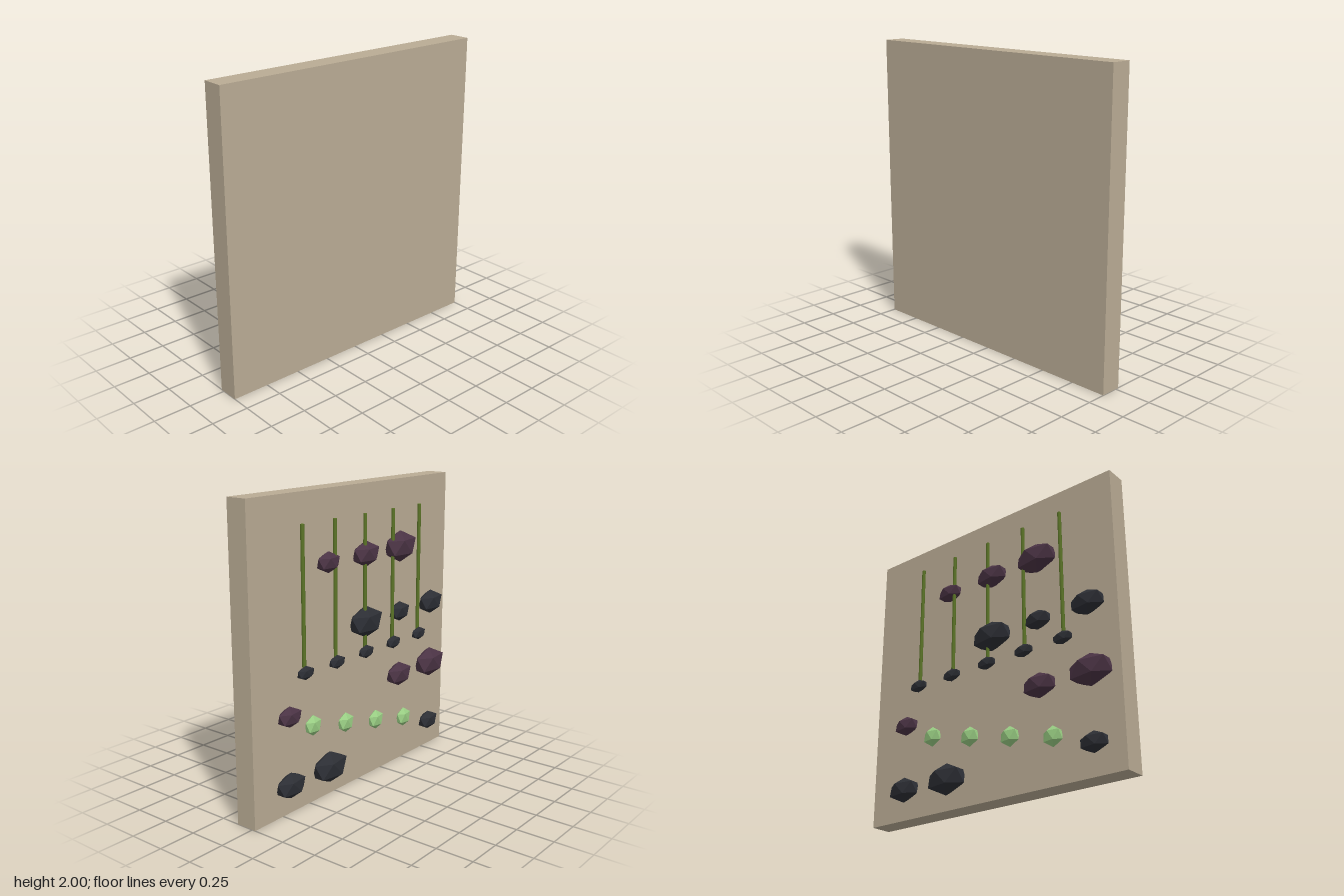
import * as THREE from 'three';

const mat = (name, color) => {
  const m = new THREE.MeshStandardMaterial({ color });
  m.name = name;
  return m;
};

// Twenty-sided faceted stone with its poles on the y axis
function stoneGeometry(rx, ry, rz) {
  const g = new THREE.IcosahedronGeometry(1, 0);
  g.rotateX(-Math.atan((1 + Math.sqrt(5)) / 2));
  g.rotateY(Math.PI / 2);
  g.scale(rx, ry, rz);
  g.computeVertexNormals();
  return g;
}

export function createModel() {
  const group = new THREE.Group();
  const sand = mat('sandBoard', 0xb9ab94);
  const plum = mat('plumStone', 0x4a3344);
  const charcoal = mat('charcoalStone', 0x2c2e34);
  const leaf = mat('paleGreen', 0x98cc82);
  const olive = mat('oliveStem', 0x5c7528);

  const add = (name, geometry, material, x, y, z) => {
    const mesh = new THREE.Mesh(geometry, material);
    mesh.name = name;
    mesh.position.set(x, y, z);
    group.add(mesh);
  };

  // Thick square backing board
  add('board', new THREE.BoxGeometry(2, 2, 0.145), sand, 0, 1, 0.0475);

  // Large stones in four rows, half sunk in the back face
  const sizes = [1, 0.8, 0.64].map((s) => stoneGeometry(0.165 * s, 0.107 * s, 0.081 * s));
  const columns = [0.7, 0.325, -0.05, -0.425, -0.8];
  const rows = [
    { y: 1.55, material: plum, stones: [[1, 2], [2, 1], [3, 0]] },
    { y: 1.1, material: charcoal, stones: [[2, 0], [3, 2], [4, 1]] },
    { y: 0.65, material: plum, stones: [[0, 2], [3, 1], [4, 0]] },
    { y: 0.2, material: charcoal, stones: [[0, 1], [1, 0], [4, 2]] },
  ];
  for (const { y, material, stones } of rows) {
    for (const [column, size] of stones) {
      add('stone', sizes[size], material, columns[column], y, -0.05);
    }
  }

  // Upright stems, each with a small stone at its foot
  const stem = new THREE.CylinderGeometry(0.0125, 0.0125, 0.915, 8);
  const foot = stoneGeometry(0.08, 0.046, 0.03);
  for (let i = 0; i < 5; i++) {
    const x = 0.575 - i * 0.3;
    add('stem', stem, olive, x, 1.3575, -0.062);
    add('footStone', foot, charcoal, x, 0.905, -0.074);
  }

  // Slanting row of pale green stones
  const pebble = stoneGeometry(0.076, 0.069, 0.042);
  for (let i = 0; i < 4; i++) {
    add('greenStone', pebble, leaf, 0.47 - i * 0.325, 0.525 - i * 0.0735, -0.035);
  }

  return group;
}
